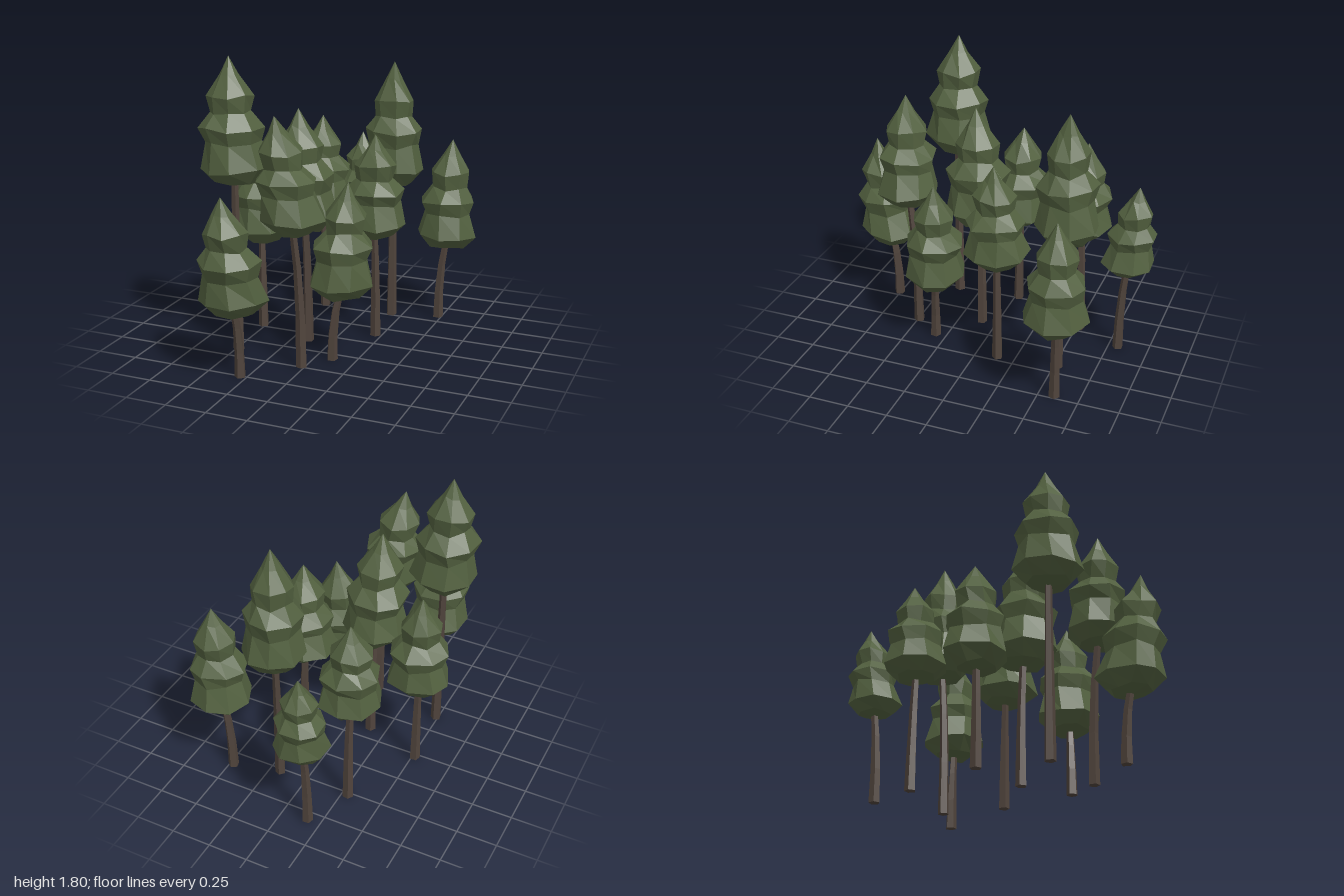
import * as THREE from 'three';

// Seeded jitter in -1..1
function makeJitter(seed) {
  let s = seed * 7919 + 17;
  return () => {
    s = (s * 16807) % 2147483647;
    return (s / 2147483647) * 2 - 1;
  };
}

// Joins rings of points [x, y, z] (bottom to top) and closes both ends
function skin(rings, bottom, top) {
  const n = rings[0].length;
  const points = [bottom, ...rings.flat(), top];
  const last = points.length - 1;
  const index = [];
  for (let j = 0; j < n; j++) {
    const k = (j + 1) % n;
    index.push(0, 1 + k, 1 + j);
    for (let i = 0; i < rings.length - 1; i++) {
      const a = 1 + i * n + j, b = 1 + i * n + k;
      index.push(a, b, a + n, b, b + n, a + n);
    }
    const r = 1 + (rings.length - 1) * n;
    index.push(r + j, r + k, last);
  }
  const indexed = new THREE.BufferGeometry();
  indexed.setAttribute('position', new THREE.Float32BufferAttribute(points.flat(), 3));
  indexed.setIndex(index);
  const geometry = indexed.toNonIndexed();
  geometry.computeVertexNormals(); // flat facets
  return geometry;
}

const mix = THREE.MathUtils.lerp;

// Canopy outline: [fraction of height, fraction of full radius]
const TIERS = [[0.02, 0.6], [0.13, 1], [0.34, 0.79], [0.455, 0.93], [0.575, 0.58], [0.705, 0.66], [0.86, 0.28]];

function canopyGeometry(t, seed) {
  const jitter = makeJitter(seed);
  const sides = 8;
  const [cx, cz] = t.crown, [tx, tz] = t.tip;
  const turn = jitter() * Math.PI;
  const rings = TIERS.map(([f, r]) => {
    const lean = Math.max(0, f - 0.13) / 0.87;
    return Array.from({ length: sides }, (_, j) => {
      const angle = turn + (j / sides) * Math.PI * 2 + jitter() * 0.08;
      const radius = t.r * r * (1 + jitter() * 0.05);
      return [
        mix(cx, tx, lean) + Math.cos(angle) * radius,
        mix(t.low, t.high, f + jitter() * 0.018),
        mix(cz, tz, lean) - Math.sin(angle) * radius,
      ];
    });
  });
  return skin(rings, [cx, t.low - 0.005, cz], [tx, t.high, tz]);
}

// Bent tapering trunk that ends inside the canopy
function trunkGeometry(t, seed) {
  const sides = 5;
  const [bx, bz] = t.base, [cx, cz] = t.crown;
  const height = t.low + 0.04;
  const centre = (f) => [mix(bx, cx, f ** 2.5), height * f, mix(bz, cz, f ** 2.5)];
  const rings = [0, 0.35, 0.7, 1].map((f) => {
    const [x, y, z] = centre(f);
    const radius = mix(0.034, 0.021, f);
    return Array.from({ length: sides }, (_, j) => {
      const angle = seed + (j / sides) * Math.PI * 2;
      return [x + Math.cos(angle) * radius, y, z - Math.sin(angle) * radius];
    });
  });
  return skin(rings, centre(0), centre(1));
}

// base, crown and tip are [x, z]; low and high are the canopy's ends
const TREES = [
  { base: [-0.165, -0.81], crown: [-0.16, -0.843], tip: [-0.17, -0.89], low: 0.55, high: 1.13, r: 0.162 },
  { base: [-0.29, -0.52], crown: [-0.3, -0.505], tip: [-0.31, -0.53], low: 0.68, high: 1.3, r: 0.195 },
  { base: [0.18, -0.52], crown: [0.17, -0.545], tip: [0.17, -0.55], low: 0.88, high: 1.675, r: 0.195 },
  { base: [0.475, -0.597], crown: [0.515, -0.605], tip: [0.545, -0.61], low: 0.48, high: 1.195, r: 0.192 },
  { base: [0.21, -0.14], crown: [0.2, -0.13], tip: [0.21, -0.11], low: 0.66, high: 1.3, r: 0.195 },
  { base: [-0.515, -0.025], crown: [-0.52, -0.03], tip: [-0.53, -0.04], low: 0.58, high: 1.24, r: 0.195 },
  { base: [-0.145, 0.1], crown: [-0.155, 0.12], tip: [-0.18, 0.15], low: 0.73, high: 1.48, r: 0.212 },
  { base: [0.105, 0.32], crown: [0.15, 0.3], tip: [0.19, 0.28], low: 0.4, high: 1.1, r: 0.195 },
  { base: [-0.485, 0.39], crown: [-0.485, 0.393], tip: [-0.51, 0.39], low: 1.05, high: 1.805, r: 0.207 },
  { base: [-0.02, 0.49], crown: [-0.045, 0.545], tip: [-0.13, 0.59], low: 0.84, high: 1.52, r: 0.195 },
  { base: [-0.29, 0.755], crown: [-0.3, 0.8], tip: [-0.32, 0.89], low: 0.4, high: 1.11, r: 0.195 },
];

export function createModel() {
  const foliage = new THREE.MeshStandardMaterial({ color: 0x52603f, flatShading: true });
  foliage.name = 'foliage green';
  const bark = new THREE.MeshStandardMaterial({ color: 0x50443c, flatShading: true });
  bark.name = 'bark brown';

  const grove = new THREE.Group();
  grove.name = 'grove';
  TREES.forEach((t, i) => {
    const tree = new THREE.Group();
    tree.name = `tree${i + 1}`;
    const trunk = new THREE.Mesh(trunkGeometry(t, i + 1), bark);
    trunk.name = 'trunk';
    const canopy = new THREE.Mesh(canopyGeometry(t, i + 1), foliage);
    canopy.name = 'canopy';
    tree.add(trunk, canopy);
    grove.add(tree);
  });
  return grove;
}
